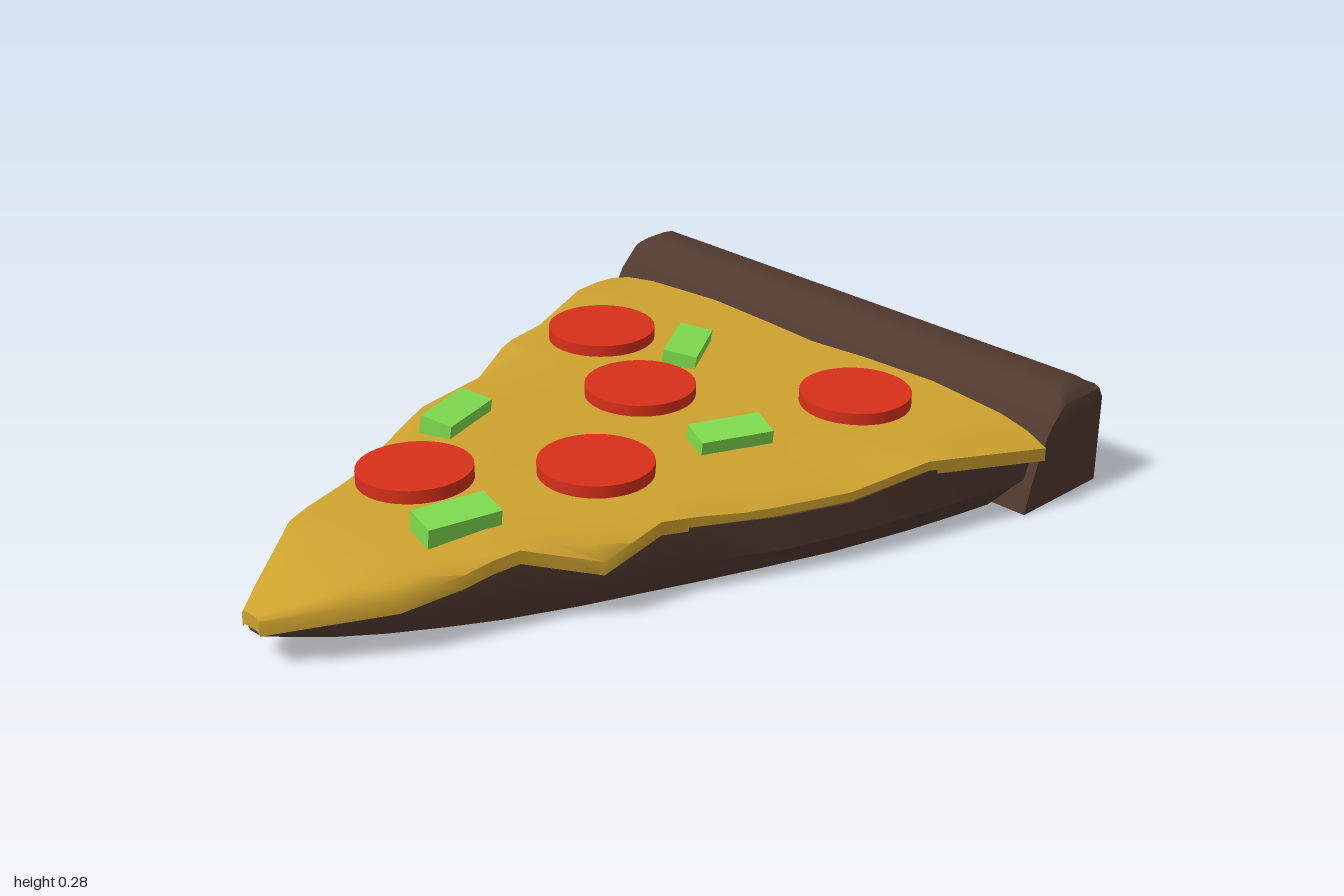
import * as THREE from 'three';
import { toCreasedNormals } from 'three/addons/utils/BufferGeometryUtils.js';

const mat = (color) => new THREE.MeshStandardMaterial({ color });

// Piecewise linear lookup in a list of [key, value] pairs
function lookup(table, k) {
  if (k <= table[0][0]) return table[0][1];
  for (let i = 1; i < table.length; i++) {
    const [a, va] = table[i - 1], [b, vb] = table[i];
    if (k <= b) return va + (vb - va) * (k - a) / (b - a);
  }
  return table[table.length - 1][1];
}

// Skin over closed rings of [x, y, z]; ring point j lies opposite point n-1-j, which closes the ends
function loft(rings, crease) {
  const n = rings[0].length, last = rings.length - 1, pos = [];
  const quad = (a, b, c, d) => pos.push(...a, ...b, ...c, ...a, ...c, ...d);
  for (let i = 0; i < last; i++) {
    for (let j = 0; j < n; j++) {
      const k = (j + 1) % n;
      quad(rings[i][j], rings[i][k], rings[i + 1][k], rings[i + 1][j]);
    }
  }
  for (let j = 0; j < n / 2 - 1; j++) {
    const s = rings[0], e = rings[last];
    quad(e[j], e[j + 1], e[n - 2 - j], e[n - 1 - j]);
    quad(s[n - 1 - j], s[n - 2 - j], s[j + 1], s[j]);
  }
  const geo = new THREE.BufferGeometry();
  geo.setAttribute('position', new THREE.Float32BufferAttribute(pos, 3));
  return toCreasedNormals(geo, crease);
}

// Wavy cheese rims: x and lower edge height along z, for each side
const rightX = [[-0.77, 0.73], [-0.57, 0.67], [-0.25, 0.575], [0.18, 0.41], [0.34, 0.385], [0.51, 0.285], [0.76, 0.2], [0.93, 0.09], [1, 0.03]];
const leftX = [[-0.77, -0.73], [-0.6, -0.67], [-0.4, -0.625], [-0.08, -0.5], [0.2, -0.395], [0.5, -0.28], [0.75, -0.18], [0.93, -0.08], [1, -0.03]];
const rightY = [[-0.77, 0.13], [-0.57, 0.155], [-0.45, 0.17], [-0.25, 0.14], [-0.02, 0.14], [0.18, 0.165], [0.34, 0.11], [0.51, 0.165], [0.62, 0.13], [0.76, 0.105], [0.93, 0.09], [1, 0.075]];
const leftY = [[-0.77, 0.14], [-0.6, 0.18], [-0.4, 0.14], [-0.22, 0.165], [-0.08, 0.13], [0.2, 0.17], [0.5, 0.13], [0.75, 0.155], [0.93, 0.09], [1, 0.075]];
const topY = [[-0.77, 0.21], [0.25, 0.21], [0.5, 0.205], [0.7, 0.19], [0.85, 0.165], [1, 0.118]];

function cheeseGeometry() {
  const thick = 0.033;
  const zs = [-0.77, -0.68, -0.58, -0.45, -0.4, -0.25, -0.2, -0.08, 0, 0.1, 0.19, 0.27, 0.34, 0.42, 0.5, 0.56, 0.62, 0.69, 0.76, 0.85, 0.93, 1];
  // Fraction across the sheet and how far it has risen from rim to crown
  const cols = [[1, 0], [0.92, 0.5], [0.8, 0.82], [0.5, 0.97], [0.22, 1], [0, 1], [-0.22, 1], [-0.5, 0.97], [-0.8, 0.82], [-0.92, 0.5], [-1, 0]];
  const backWave = [[-0.73, 0], [-0.35, -0.025], [0, 0], [0.3, -0.035], [0.73, 0]];
  const rings = zs.map((z, i) => {
    const xl = lookup(leftX, z), xr = lookup(rightX, z), crown = lookup(topY, z);
    const upper = cols.map(([t, rise]) => {
      const x = xl + (xr - xl) * (t + 1) / 2;
      const rim = lookup(t > 0 ? rightY : leftY, z) + thick;
      return [x, rim + (crown - rim) * rise, i === 0 ? z + lookup(backWave, x) : z];
    });
    return [...upper, ...upper.map(([x, y, zz]) => [x, y - thick, zz]).reverse()];
  });
  return loft(rings, 0.75);
}

function baseGeometry() {
  const width = [[-0.8, 0.7], [-0.7, 0.69], [-0.5, 0.65], [-0.25, 0.58], [0, 0.485], [0.2, 0.4], [0.5, 0.275], [0.75, 0.155], [0.92, 0.07], [1, 0.02]];
  const bottom = [[-0.8, 0.05], [-0.7, 0.003], [0.4, 0.003], [0.7, 0.02], [0.85, 0.04], [1, 0.07]];
  const zs = [-0.8, -0.74, -0.7, -0.58, -0.45, -0.25, -0.08, 0.08, 0.19, 0.34, 0.51, 0.62, 0.75, 0.85, 0.93, 0.99];
  const rings = zs.map((z) => {
    const w = lookup(width, z), yb = lookup(bottom, z), top = lookup(topY, z) - 0.05;
    const rimR = lookup(rightY, z) + 0.01, rimL = lookup(leftY, z) + 0.01;
    const low = yb + (Math.min(rimL, rimR) - yb) * 0.45, wb = w * 0.92 - 0.005;
    return [[w, rimR, z], [w * 0.75, top, z], [-w * 0.75, top, z], [-w, rimL, z],
      [-w, low, z], [-wb, yb, z], [wb, yb, z], [w, low, z]];
  });
  return loft(rings, 0.6);
}

function crustGeometry() {
  // Profile as [z, y], with the ends softened along the top
  const profile = [[-0.72, 0], [-1, 0], [-1, 0.22], [-0.985, 0.255], [-0.945, 0.28], [-0.885, 0.28], [-0.85, 0.263], [-0.8, 0.2], [-0.765, 0.14], [-0.74, 0.07]];
  const ring = (x, cap) => profile.map(([z, y]) => [x, Math.min(y, cap), z]);
  return loft([ring(-0.72, 0.248), ring(-0.705, 0.268), ring(-0.675, 0.28), ring(0.675, 0.28), ring(0.705, 0.268), ring(0.72, 0.248)], 0.8);
}

export function createModel() {
  const group = new THREE.Group();
  const add = (name, geo, material) => {
    const mesh = new THREE.Mesh(geo, material);
    mesh.name = name;
    group.add(mesh);
    return mesh;
  };
  const dough = mat(0x513a2f), cheese = mat(0xcda22e), red = mat(0xd8301a), green = mat(0x7fdd4f);

  add('crust', crustGeometry(), dough);
  add('base', baseGeometry(), dough);
  add('cheese', cheeseGeometry(), cheese);

  // Sausage slices: x, z, tilt
  const slice = new THREE.CylinderGeometry(0.135, 0.135, 0.032, 32);
  for (const [x, z, tilt] of [[-0.4, -0.41, 0], [0.31, -0.57, 0], [-0.08, -0.23, 0], [0.15, 0.14, 0], [-0.11, 0.455, 0.04]]) {
    const m = add('sausageSlice', slice, red);
    m.position.set(x, 0.222, z);
    m.rotation.z = tilt;
  }

  // Pepper pieces: x, z, turn
  const piece = new THREE.BoxGeometry(0.085, 0.05, 0.18);
  for (const [x, z, turn] of [[-0.17, -0.485, 0.54], [0.255, -0.19, -0.39], [-0.27, 0.195, 0.29], [0.13, 0.54, -0.22]]) {
    const m = add('pepperPiece', piece, green);
    m.position.set(x, 0.222, z);
    m.rotation.set(0, turn, -0.14, 'YXZ');
  }
  return group;
}
